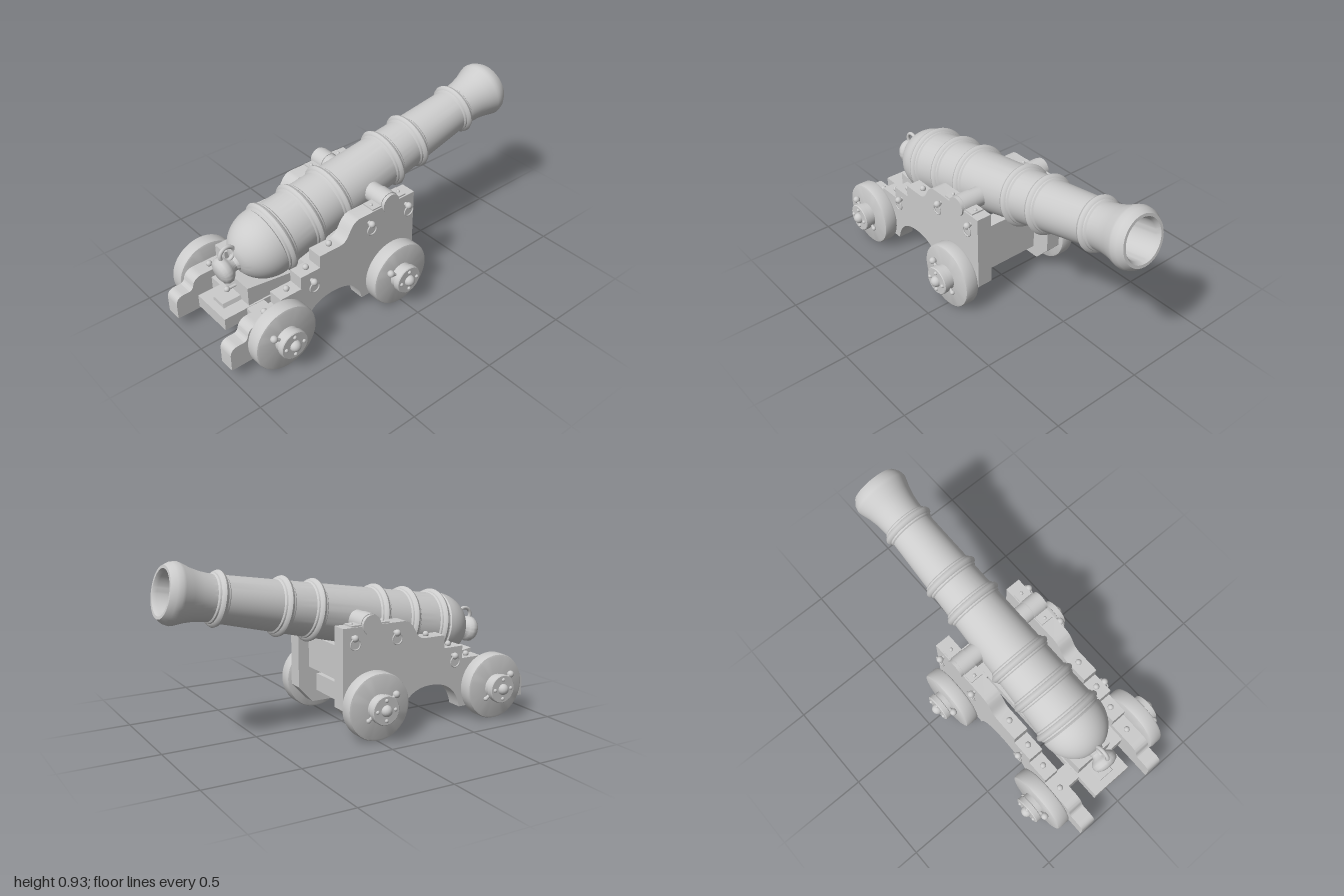
import * as THREE from 'three';
import { toCreasedNormals } from 'three/addons/utils/BufferGeometryUtils.js';

const material = new THREE.MeshStandardMaterial({ color: 0xcccccc });
const TILT = THREE.MathUtils.degToRad(12);

export function createModel() {
  const model = new THREE.Group();

  const add = (name, geometry, x = 0, y = 0, z = 0) => {
    const mesh = new THREE.Mesh(geometry, material);
    mesh.name = name;
    mesh.position.set(x, y, z);
    model.add(mesh);
    return mesh;
  };
  const box = (name, w, h, d, x, y, z) => add(name, new THREE.BoxGeometry(w, h, d), x, y, z);
  const ball = (name, r, x, y, z) => add(name, new THREE.SphereGeometry(r, 16, 12), x, y, z);
  const lathe = (points, segments) => toCreasedNormals(
    new THREE.LatheGeometry(points.map(p => new THREE.Vector2(...p)), segments), 0.7);
  // cylinder lying along x
  const rod = (name, r, x0, x1, y, z) =>
    add(name, new THREE.CylinderGeometry(r, r, Math.abs(x1 - x0), 32).rotateZ(Math.PI / 2), (x0 + x1) / 2, y, z);

  // Barrel: [radius, distance along the axis from the trunnions]
  const taper = t => 0.1485 - 0.0427 * t;
  const profile = [[0, -0.875], [0.035, -0.873], [0.06, -0.862], [0.07, -0.845], [0.07, -0.825],
    [0.058, -0.81], [0.04, -0.795], [0.036, -0.78], [0.045, -0.765]];
  for (let i = 3; i <= 12; i++) {
    const a = (i / 12) * Math.PI / 2;
    profile.push([0.18 * Math.sin(a), -0.58 - 0.195 * Math.cos(a)]);
  }
  for (const t of [-0.542, -0.356, -0.169, 0.204, 0.382, 0.726]) {
    for (const [dt, dr] of [[-0.032, 0], [-0.026, 0.007], [-0.018, 0.008], [-0.012, 0.018], [0, 0.023],
      [0.012, 0.018], [0.018, 0.008], [0.026, 0.007], [0.032, 0]]) {
      profile.push([taper(t + dt) + dr, t + dt]);
    }
  }
  profile.push([0.117, 0.78], [0.122, 0.83], [0.133, 0.88], [0.15, 0.93], [0.153, 0.945], [0.147, 0.972],
    [0.128, 1.0], [0.113, 1.0], [0.1, 0.98], [0.1, 0.25], [0, 0.25]);
  const barrel = add('barrel', lathe(profile, 64), 0, 0.587, 0.01);
  barrel.rotation.x = TILT - Math.PI / 2;
  add('breechRing', new THREE.TorusGeometry(0.04, 0.01, 12, 32).rotateY(Math.PI / 2), 0, 0.497, 0.8);

  // Cheek outline, drawn as (z, y)
  const outline = new THREE.Shape();
  outline.moveTo(1, 0.07);
  outline.lineTo(1, 0.16);
  outline.quadraticCurveTo(0.995, 0.2, 0.955, 0.2);
  outline.lineTo(0.925, 0.2);
  outline.quadraticCurveTo(0.9, 0.2, 0.895, 0.235);
  outline.quadraticCurveTo(0.88, 0.27, 0.84, 0.27);
  for (const [z, y] of [[0.7, 0.27], [0.7, 0.337], [0.578, 0.337], [0.578, 0.406], [0.46, 0.406],
    [0.46, 0.476], [0.33, 0.476]]) outline.lineTo(z, y);
  outline.bezierCurveTo(0.27, 0.48, 0.28, 0.57, 0.21, 0.58);
  outline.lineTo(-0.152, 0.58);
  outline.lineTo(-0.152, 0.16);
  outline.lineTo(-0.07, 0.07);
  outline.lineTo(0.195, 0.07);
  outline.bezierCurveTo(0.21, 0.16, 0.27, 0.218, 0.38, 0.218);
  outline.bezierCurveTo(0.49, 0.218, 0.55, 0.16, 0.567, 0.07);
  outline.closePath();
  const cheekGeometry = () => toCreasedNormals(new THREE.ExtrudeGeometry(outline,
    { depth: 0.085, bevelEnabled: false, curveSegments: 16 }).rotateY(-Math.PI / 2), 0.5);

  const wheelProfile = [[0, 0], [0.163, 0], [0.173, 0.004], [0.177, 0.014], [0.177, 0.066],
    [0.173, 0.076], [0.163, 0.08], [0, 0.08]];
  const hubProfile = [[0.07, 0], [0.07, 0.028], [0.077, 0.031], [0.077, 0.058], [0.073, 0.062], [0, 0.062]];

  for (const s of [1, -1]) {
    const side = s > 0 ? 'left' : 'right';
    add(side + 'Cheek', cheekGeometry(), s > 0 ? 0.28 : -0.195, 0, 0);

    // Bolts on the steps of the cheek
    for (const [y, z] of [[0.275, 0.77], [0.342, 0.635], [0.411, 0.515], [0.481, 0.37]]) {
      ball(side + 'StepBolt', 0.016, s * 0.237, y + 0.004, z);
    }

    // Trunnion and its cap strap
    rod(side + 'Trunnion', 0.052, s * 0.1, s * 0.29, 0.583, 0.01);
    rod(side + 'TrunnionCap', 0.056, s * 0.2, s * 0.272, 0.583, 0.01);
    box(side + 'CapStrap', 0.072, 0.012, 0.22, s * 0.237, 0.582, 0.01);
    for (const z of [-0.082, 0.1]) ball(side + 'CapBolt', 0.01, s * 0.237, 0.588, z);

    // Eyebolts with hanging rings
    for (const [y, z] of [[0.53, 0.15], [0.53, -0.096], [0.362, 0.515]]) {
      rod(side + 'EyeboltShank', 0.01, s * 0.275, s * 0.305, y, z);
      ball(side + 'Eyebolt', 0.018, s * 0.303, y, z);
      add(side + 'EyeboltRing', new THREE.TorusGeometry(0.028, 0.004, 8, 28).rotateY(Math.PI / 2),
        s * 0.305, y - 0.03, z);
    }

    // Wheels with hubs, hub bolts and linchpins
    for (const z of [0.738, 0.007]) {
      const y = 0.18;
      const turn = -s * Math.PI / 2;
      rod(side + 'AxleArm', 0.028, s * 0.19, s * 0.3, y, z);
      add(side + 'Wheel', lathe(wheelProfile, 48).rotateZ(turn), s * 0.292, y, z);
      add(side + 'Hub', lathe(hubProfile, 40).rotateZ(turn), s * 0.371, y, z);
      ball(side + 'AxleEnd', 0.03, s * 0.433, y, z);
      for (let i = 0; i < 4; i++) {
        const a = i * Math.PI / 2;
        ball(side + 'HubBolt', 0.01, s * 0.433, y + 0.052 * Math.sin(a), z + 0.052 * Math.cos(a));
      }
      const pin = add(side + 'Linchpin', new THREE.CylinderGeometry(0.009, 0.009, 0.19, 12), s * 0.388, y, z);
      pin.rotation.x = 0.96;
      ball(side + 'LinchpinHead', 0.019, s * 0.388, y + 0.06, z + 0.086);
      ball(side + 'LinchpinTip', 0.012, s * 0.388, y - 0.053, z - 0.076);
    }
  }

  // Cross members joining the cheeks
  box('rearAxleBeam', 0.4, 0.095, 0.1, 0, 0.178, 0.738);
  box('frontAxleBeam', 0.4, 0.095, 0.1, 0, 0.178, 0.007);
  box('transom', 0.4, 0.18, 0.08, 0, 0.36, -0.05);
  box('bedPlank', 0.232, 0.067, 0.96, 0, 0.194, 0.437);

  // Elevating block, its knob and the small wedge in front of it
  const block = new THREE.Shape([[0.77, 0.227], [0.77, 0.333], [0.4, 0.28], [0.4, 0.227]]
    .map(p => new THREE.Vector2(...p)));
  add('elevatingBlock', new THREE.ExtrudeGeometry(block, { depth: 0.215, bevelEnabled: false })
    .rotateY(-Math.PI / 2), 0.107, 0, 0);
  add('blockPin', new THREE.CylinderGeometry(0.008, 0.008, 0.05, 12).rotateX(Math.PI / 2), 0, 0.29, 0.79);
  ball('blockKnob', 0.015, 0, 0.29, 0.82);
  const wedge = new THREE.Shape([[-0.046, 0], [0.046, 0], [0.038, 0.022], [-0.038, 0.022]]
    .map(p => new THREE.Vector2(...p)));
  add('wedge', new THREE.ExtrudeGeometry(wedge, { depth: 0.11, bevelEnabled: false }), 0, 0.227, 0.765);

  return model;
}
